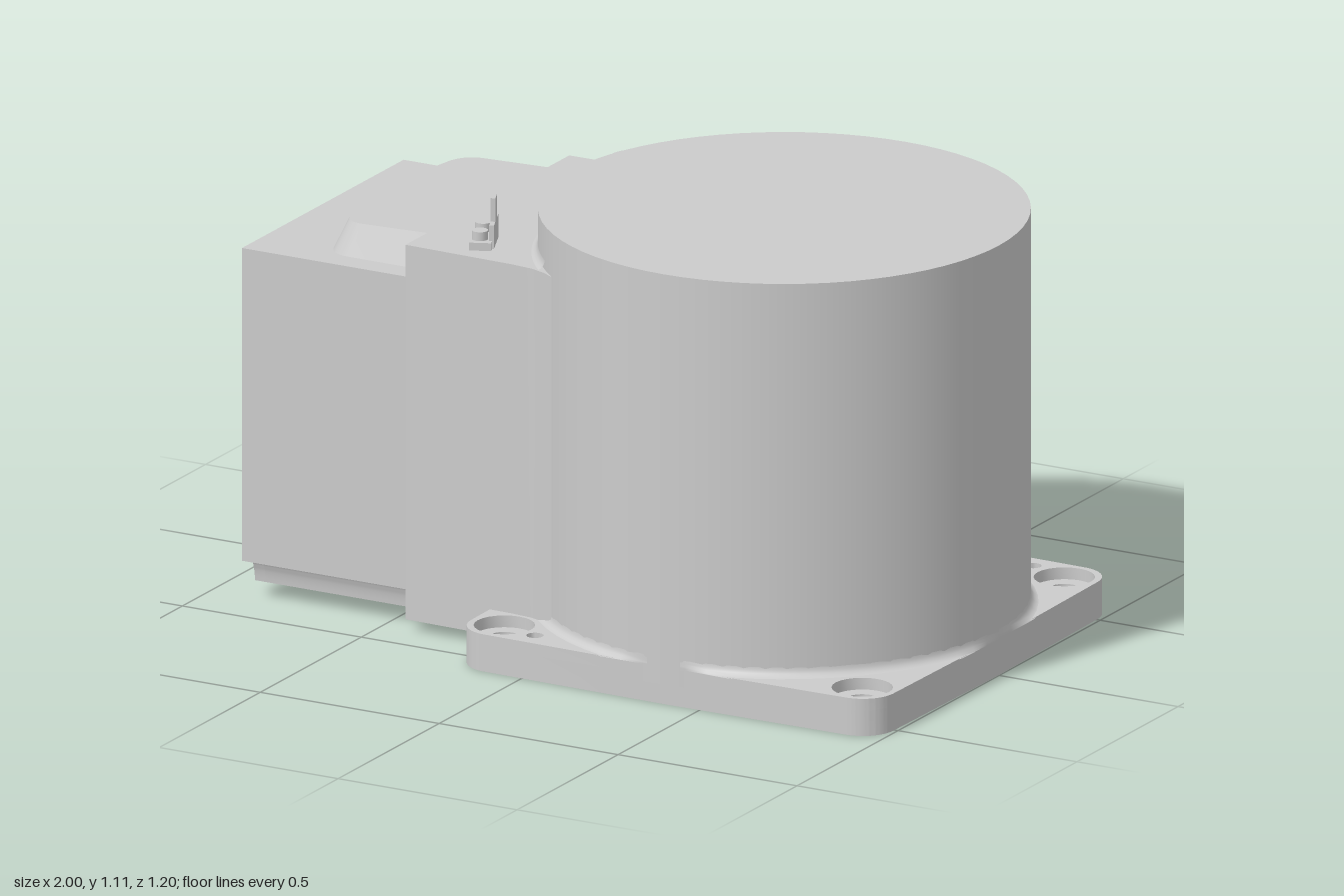
import * as THREE from 'three';
import { toCreasedNormals } from 'three/addons/utils/BufferGeometryUtils.js';

const mat = new THREE.MeshStandardMaterial({ color: 0xcccccc, side: THREE.DoubleSide });

function add(parent, name, geo, x = 0, y = 0, z = 0) {
  const m = new THREE.Mesh(geo, mat);
  m.name = name;
  m.position.set(x, y, z);
  parent.add(m);
  return m;
}

const circle = (x, y, r, Kind = THREE.Path) => new Kind().absarc(x, y, r, 0, Math.PI * 2, false);

function poly(points) {
  return new THREE.Shape(points.map(p => new THREE.Vector2(p[0], p[1])));
}

function roundRect(cx, cy, w, h, r, Kind = THREE.Shape) {
  const x = w / 2 - r, y = h / 2 - r, s = new Kind();
  s.absarc(cx + x, cy + y, r, 0, Math.PI / 2);
  s.absarc(cx - x, cy + y, r, Math.PI / 2, Math.PI);
  s.absarc(cx - x, cy - y, r, Math.PI, Math.PI * 1.5);
  s.absarc(cx + x, cy - y, r, Math.PI * 1.5, Math.PI * 2);
  s.closePath();
  return s;
}

function extrude(shape, depth, bevel = 0) {
  return new THREE.ExtrudeGeometry(shape, {
    depth: depth - bevel, curveSegments: 12, bevelEnabled: bevel > 0,
    bevelThickness: bevel, bevelSize: bevel, bevelOffset: -bevel, bevelSegments: 3,
  });
}

// Plan outline (x, -z) raised along y
const raise = (shape, depth, bevel) => toCreasedNormals(extrude(shape, depth, bevel).rotateX(-Math.PI / 2), 0.6);
// Section (-z, y) run along +x
const alongX = (shape, depth) => toCreasedNormals(extrude(shape, depth).rotateY(Math.PI / 2), 0.6);

// Concave blend around the drum, kept inside the given half width
function blend(y, size, phi, sweep, limit) {
  const pts = [];
  for (let i = 0; i <= 5; i++) {
    const a = (i / 5) * Math.PI / 2;
    pts.push(new THREE.Vector2(0.6 + size * (1 - Math.sin(a)), y + size * (1 - Math.cos(a))));
  }
  const g = new THREE.LatheGeometry(pts, 64, phi, sweep);
  const p = g.attributes.position;
  for (let i = 0; i < p.count; i++) {
    p.setX(i, THREE.MathUtils.clamp(p.getX(i), -0.6, 0.6));
    p.setZ(i, THREE.MathUtils.clamp(p.getZ(i), -limit, limit));
  }
  g.computeVertexNormals();
  return g;
}

function buildBase(root) {
  const base = new THREE.Group();
  base.name = 'base';
  root.add(base);
  const layer = holeRadius => {
    const s = new THREE.Shape();
    // Square flange whose sides bow out slightly at the middle
    [[1, 1], [-1, 1], [-1, -1], [1, -1]].forEach(([sx, sz], i) => {
      const a = i * Math.PI / 2;
      s.absarc(0.4 + sx * 0.505, sz * 0.505, 0.085, a, a + Math.PI / 2);
      const mid = a + Math.PI / 2;
      s.lineTo(0.4 + 0.598 * Math.cos(mid), 0.598 * Math.sin(mid));
    });
    s.closePath();
    for (const x of [-0.1, 0.9]) for (const z of [-0.5, 0.5]) s.holes.push(circle(x, z, holeRadius));
    s.holes.push(circle(0.79, 0.54, 0.021), circle(0.005, -0.535, 0.021));
    return s;
  };
  add(base, 'flangeLower', raise(layer(0.038), 0.065));
  // Upper layer with counterbores; starts beneath the seam to hide its lower bevel
  const upper = raise(layer(0.075), 0.03);
  add(base, 'flangeUpper', upper, 0, 0.065, 0);
  add(base, 'drumBaseBlend', blend(0.094, 0.025, 0, Math.PI * 2, 0.598), 0.4);
}

function buildHousing(root) {
  const housing = new THREE.Group();
  housing.name = 'housing';
  root.add(housing);

  // Neck flaring into the drum
  const side = [[-0.43, 0.405], [-0.13, 0.412], [-0.07, 0.418], [-0.03, 0.432], [0, 0.449], [0.2, 0.449]];
  const plan = poly([...side, ...side.map(([x, z]) => [x, -z]).reverse()]);
  add(housing, 'neck', raise(plan, 0.958), 0, 0.03, 0);
  add(housing, 'drumTopBlend', blend(0.986, 0.025, Math.PI * 1.5 - 0.75, 1.5, 0.42), 0.4);

  // Rear box with concave lower corners
  const section = () => {
    const s = new THREE.Shape();
    s.moveTo(-0.4, 0.905);
    s.lineTo(-0.4, 0.105);
    s.lineTo(-0.37, 0.105);
    s.quadraticCurveTo(-0.34, 0.1, -0.335, 0.037);
    s.lineTo(0.335, 0.037);
    s.quadraticCurveTo(0.34, 0.1, 0.37, 0.105);
    s.lineTo(0.4, 0.105);
    s.lineTo(0.4, 0.905);
    s.closePath();
    return s;
  };
  add(housing, 'rearBox', alongX(section(), 0.43), -0.86);
  const wall = section();
  wall.holes.push(roundRect(0.005, 0.742, 0.52, 0.125, 0.06, THREE.Path));
  wall.holes.push(roundRect(-0.19, 0.36, 0.23, 0.48, 0.05, THREE.Path));
  add(housing, 'rearWall', alongX(wall, 0.03), -0.89);

  // Raised cover with tapered sides
  const hump = new THREE.Shape();
  hump.moveTo(0, -0.335);
  hump.lineTo(-0.2, -0.335);
  hump.quadraticCurveTo(-0.26, -0.335, -0.275, -0.27);
  hump.quadraticCurveTo(-0.325, 0, -0.275, 0.27);
  hump.quadraticCurveTo(-0.26, 0.335, -0.2, 0.335);
  hump.lineTo(0, 0.335);
  hump.closePath();
  const g = extrude(hump, 0.1);
  const p = g.attributes.position;
  for (let i = 0; i < p.count; i++) {
    if (p.getZ(i) < 0.05) continue;
    const x = p.getX(i) * 0.89;
    p.setXYZ(i, x, p.getY(i) * 0.89, 0.088 + x * 0.03);
  }
  add(housing, 'topCover', toCreasedNormals(g.rotateX(-Math.PI / 2), 0.6), -0.43, 0.9, 0);
}

// Open socket facing -x with a smaller core inside
function socket(parent, name, x, y, z, r, depth) {
  const ring = circle(0, 0, r, THREE.Shape);
  ring.holes.push(circle(0, 0, r * 0.72));
  add(parent, name, alongX(ring, depth), x, y, z);
  add(parent, name + 'Core', alongX(circle(0, 0, r * 0.4, THREE.Shape), depth * 0.6), x + depth * 0.4, y, z);
}

function buildConnectors(root) {
  const panel = new THREE.Group();
  panel.name = 'connectorPanel';
  root.add(panel);
  for (let i = 0; i < 4; i++) socket(panel, 'smallPort', -0.893, 0.742, -0.2 + i * 0.13, 0.052, 0.033);
  for (const y of [0.5, 0.225]) socket(panel, 'roundPort', -0.912, y, 0.178, 0.07, 0.052);

  // Rectangular connector: flange, four screw ears, open shell with contact block
  const cy = 0.363, cz = -0.17;
  const frame = roundRect(0, 0, 0.3, 0.445, 0.03);
  frame.holes.push(roundRect(0, 0, 0.18, 0.29, 0.02, THREE.Path));
  add(panel, 'plugFlange', alongX(frame, 0.06), -0.95, cy, cz);
  for (const sy of [-1, 1]) for (const sz of [-1, 1]) {
    add(panel, 'plugEar', alongX(roundRect(0, 0, 0.12, 0.09, 0.04), 0.055), -0.945, cy + sy * 0.165, cz + sz * 0.16);
    add(panel, 'plugScrew', alongX(circle(0, 0, 0.028, THREE.Shape), 0.02), -0.957, cy + sy * 0.165, cz + sz * 0.175);
  }
  const shell = roundRect(0, 0, 0.22, 0.33, 0.03);
  shell.holes.push(roundRect(0, 0, 0.17, 0.28, 0.02, THREE.Path));
  add(panel, 'plugShell', alongX(shell, 0.1), -1, cy, cz);
  add(panel, 'plugContacts', alongX(roundRect(0, 0, 0.1, 0.19, 0.015), 0.08), -0.97, cy, cz);
}

function buildTopFittings(root) {
  // Vent plug beside the drum
  const vent = new THREE.Group();
  vent.name = 'ventPlug';
  vent.position.set(-0.192, 0.985, -0.292);
  root.add(vent);
  add(vent, 'ventStem', new THREE.CylinderGeometry(0.035, 0.035, 0.05, 24), 0, 0.02, 0);
  const cap = circle(0, 0, 0.052, THREE.Shape);
  cap.holes.push(circle(0, 0, 0.026));
  add(vent, 'ventCap', raise(cap, 0.035), 0, 0.035, 0);
  add(vent, 'ventCore', new THREE.CylinderGeometry(0.014, 0.014, 0.03, 6), 0, 0.05, 0);

  // Earth terminal: foot, two screws and an upright blade
  const tab = new THREE.Group();
  tab.name = 'earthTerminal';
  tab.position.set(-0.275, 0.988, 0.295);
  tab.rotation.y = 0.4;
  root.add(tab);
  add(tab, 'terminalFoot', new THREE.BoxGeometry(0.055, 0.02, 0.135), 0, 0.01, 0);
  for (const z of [-0.034, 0.034]) {
    add(tab, 'terminalScrew', new THREE.CylinderGeometry(0.02, 0.02, 0.025, 16), -0.004, 0.03, z);
  }
  add(tab, 'terminalBladeBase', new THREE.BoxGeometry(0.012, 0.06, 0.1), 0.026, 0.03, 0);
  add(tab, 'terminalBlade', new THREE.BoxGeometry(0.012, 0.07, 0.04), 0.026, 0.085, 0);
}

export function createModel() {
  const root = new THREE.Group();
  root.name = 'servoActuator';
  buildBase(root);
  add(root, 'drum', new THREE.CylinderGeometry(0.6, 0.6, 1.05, 72), 0.4, 0.575, 0);
  buildHousing(root);
  buildConnectors(root);
  buildTopFittings(root);
  return root;
}
